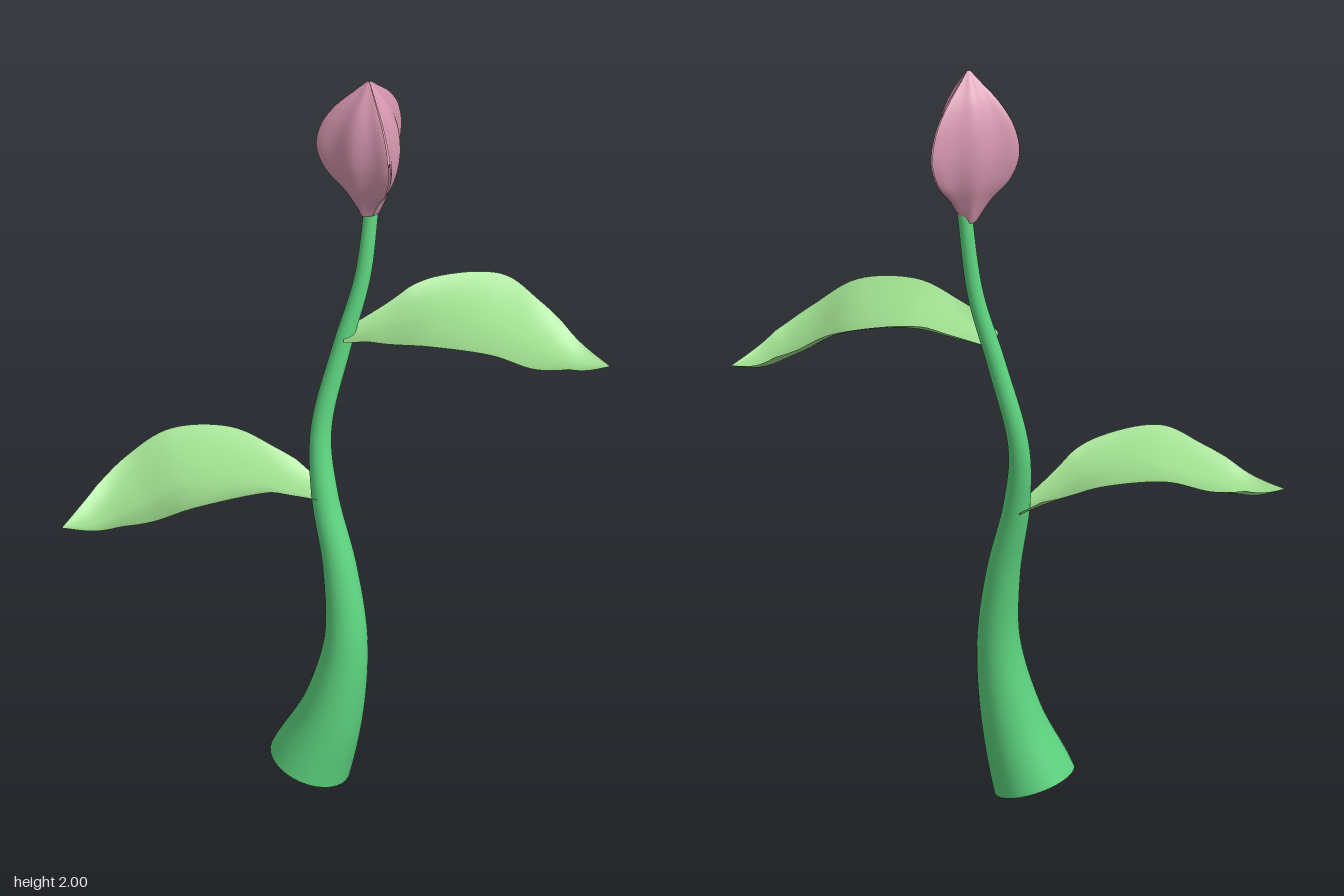
import * as THREE from 'three';

const paint = (color) => new THREE.MeshStandardMaterial({ color, side: THREE.DoubleSide });
const spline = (pts) => new THREE.SplineCurve(pts.map(([x, y]) => new THREE.Vector2(x, y)));

// Smooth sheet: fn(u in -1..1 across, v in 0..1 along) gives [x, y, z]
function sheet(nu, nv, fn) {
  const geo = new THREE.PlaneGeometry(1, 1, nu, nv);
  const pos = geo.attributes.position, uv = geo.attributes.uv;
  for (let i = 0; i < pos.count; i++) pos.setXYZ(i, ...fn(uv.getX(i) * 2 - 1, uv.getY(i)));
  geo.computeVertexNormals();
  return geo;
}

function add(parent, name, geo, mat) {
  const mesh = new THREE.Mesh(geo, mat);
  mesh.name = name;
  parent.add(mesh);
  return mesh;
}

// Tapering, swaying stem: x, y, z, radius
function buildStem() {
  const rows = [
    [-0.057, 0.036, 0.056, 0.103], [-0.003, 0.2, 0.045, 0.077], [0.026, 0.4, 0.03, 0.054],
    [0.006, 0.6, 0.01, 0.042], [-0.04, 0.8, -0.016, 0.033], [-0.058, 0.97, -0.048, 0.026],
    [-0.018, 1.2, -0.09, 0.023], [0.026, 1.4, -0.122, 0.02], [0.045, 1.63, -0.147, 0.018],
  ];
  const path = new THREE.CatmullRomCurve3(rows.map(([x, y, z]) => new THREE.Vector3(x, y, z)));
  const radii = spline(rows.map((r, i) => [i, r[3]]));
  const rings = 64, sides = 32;
  const geo = new THREE.TubeGeometry(path, rings, 1, sides);
  const pos = geo.attributes.position, p = new THREE.Vector3();
  for (let i = 0; i < pos.count; i++) {
    const u = Math.floor(i / (sides + 1)) / rings;
    const c = path.getPointAt(u);
    p.fromBufferAttribute(pos, i).sub(c);
    p.multiplyScalar(radii.getPoint(path.getUtoTmapping(u)).y).add(c);
    pos.setXYZ(i, p.x, p.y, p.z);
  }
  const stem = new THREE.Group();
  stem.name = 'stem';
  const mat = paint(0x5fd982);
  add(stem, 'stalk', geo, mat);
  // Flat ends
  for (const [name, u, dir, r] of [['baseCap', 0, -1, 0.103], ['topCap', 1, 1, 0.018]]) {
    const cap = add(stem, name, new THREE.CircleGeometry(r, sides), mat);
    cap.position.copy(path.getPointAt(u));
    cap.lookAt(path.getTangentAt(u).multiplyScalar(dir).add(cap.position));
  }
  return stem;
}

// Arched, cupped leaf growing along +x from its base
function leafGeometry() {
  const spine = spline([[0, 0], [0.1, 0.03], [0.22, 0.06], [0.35, 0.045], [0.46, -0.02], [0.56, -0.075], [0.65, -0.085]]);
  const wide = spline([[0, 0.05], [0.1, 0.115], [0.215, 0.165], [0.36, 0.178], [0.47, 0.15], [0.575, 0.07], [0.65, 0]]);
  const slim = spline([[0, -0.02], [0.1, -0.06], [0.22, -0.115], [0.38, -0.15], [0.48, -0.122], [0.57, -0.06], [0.65, 0]]);
  return sheet(24, 48, (u, v) => {
    const mid = spine.getPoint(v), edge = (u > 0 ? wide : slim).getPoint(v), a = Math.abs(u);
    const lift = 0.04 * u * u * Math.min(1, Math.abs(edge.y) / 0.09);
    return [mid.x + (edge.x - mid.x) * a, mid.y + lift, edge.y * a];
  });
}

// Petal standing on its base, facing +z, its edges meeting the neighbours at the bud's corners
function petalGeometry() {
  const corner = spline([[0, 0.022], [0.06, 0.058], [0.12, 0.106], [0.19, 0.13], [0.26, 0.118], [0.32, 0.082], [0.37, 0.034], [0.4, 0.004]]);
  const belly = spline([[0, 0.026], [0.06, 0.048], [0.12, 0.068], [0.19, 0.077], [0.26, 0.07], [0.32, 0.051], [0.37, 0.023], [0.4, 0.003]]);
  return sheet(24, 40, (u, v) => {
    const c = corner.getPoint(v), mid = belly.getPoint(v).y;
    const dent = 0.06 * c.y * Math.sin(Math.PI * u) ** 2;
    return [u * c.y * 0.85, c.x, mid + (c.y * 0.51 - mid) * u * u - dent];
  });
}

export function createModel() {
  const model = new THREE.Group();
  model.name = 'flowerPlant';
  model.add(buildStem());

  // Leaves
  const leafGeo = leafGeometry(), leafMat = paint(0x9bd98b);
  const upper = add(model, 'upperLeaf', leafGeo, leafMat);
  upper.position.set(-0.01, 1.24, -0.08);
  upper.rotation.y = 0.258;
  const lower = add(model, 'lowerLeaf', leafGeo, leafMat);
  lower.position.set(-0.045, 0.78, -0.02);
  lower.rotation.set(0, Math.PI + 0.5, 0.175);

  // Closed bud of three petals
  const bud = new THREE.Group();
  bud.name = 'bud';
  bud.position.set(0.04, 1.6, -0.132);
  const petalGeo = petalGeometry(), petalMat = paint(0xd898b0);
  for (let i = 0; i < 3; i++) {
    add(bud, 'petal', petalGeo, petalMat).rotation.y = -0.38 + (i * Math.PI * 2) / 3;
  }
  model.add(bud);
  return model;
}
